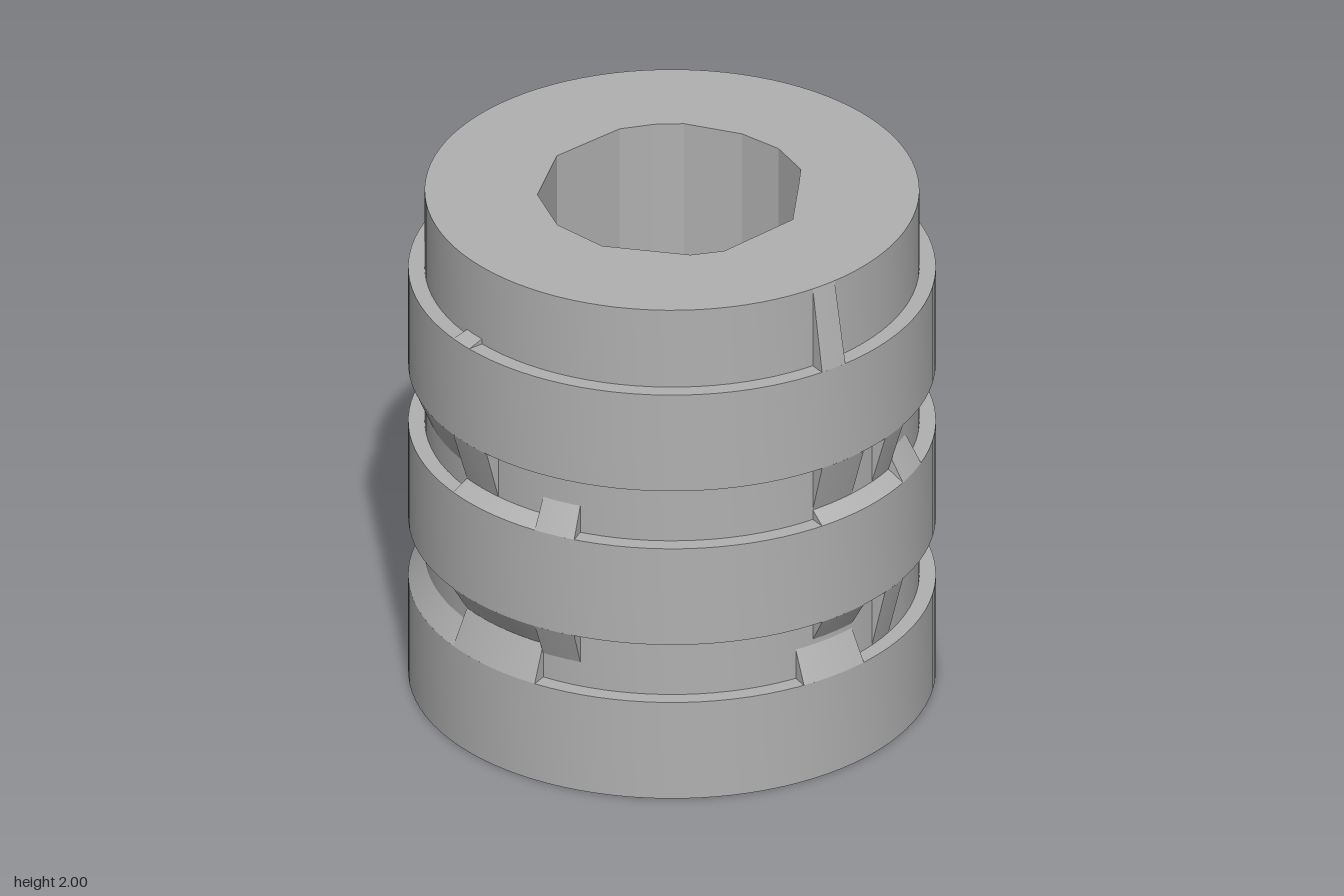
import * as THREE from 'three';
import { toCreasedNormals, mergeGeometries } from 'three/addons/utils/BufferGeometryUtils.js';

const CORE = 0.9, RIM = 0.96;

export function createModel() {
  const model = new THREE.Group();
  const grey = new THREE.MeshStandardMaterial({ color: 0xb0b0b0 });
  grey.name = 'plain grey';
  const add = (name, geometry, parent = model) => {
    const mesh = new THREE.Mesh(geometry, grey);
    mesh.name = name;
    parent.add(mesh);
    return mesh;
  };
  const fromPositions = (positions) => {
    const g = new THREE.BufferGeometry();
    g.setAttribute('position', new THREE.Float32BufferAttribute(positions, 3));
    g.computeVertexNormals();
    return g;
  };

  // Outer wall: a core with three raised bands
  const profile = [];
  for (const y of [0, 0.64, 1.28]) {
    if (y) profile.push([CORE, y]);
    profile.push([RIM, y], [RIM, y + 0.4], [CORE, y + 0.4]);
  }
  profile.push([CORE, 2]);
  const wall = new THREE.LatheGeometry(profile.map(([r, y]) => new THREE.Vector2(r, y)), 96);
  add('bandedWall', toCreasedNormals(wall, 0.5));

  // Irregular bore, given in plan as x, z
  const bore = [
    [-0.49, 0], [-0.4, -0.29], [-0.31, -0.385], [-0.22, -0.445], [0, -0.49],
    [0.17, -0.465], [0.32, -0.375], [0.37, -0.28], [0.49, -0.04], [0.4, 0.29],
    [0.31, 0.38], [0, 0.49], [-0.22, 0.44], [-0.4, 0.285],
  ];
  const borePositions = [];
  bore.forEach(([ax, az], i) => {
    const [bx, bz] = bore[(i + 1) % bore.length];
    borePositions.push(ax, 0, az, bx, 0, bz, bx, 2, bz, ax, 0, az, bx, 2, bz, ax, 2, az);
  });
  add('boreWall', fromPositions(borePositions));

  // End faces
  const endFace = (radius) => {
    const shape = new THREE.Shape().absarc(0, 0, radius, 0, Math.PI * 2);
    shape.holes.push(new THREE.Path(bore.map(([x, z]) => new THREE.Vector2(x, -z))));
    return new THREE.ShapeGeometry(shape, 48);
  };
  add('topFace', endFace(CORE).rotateX(-Math.PI / 2)).position.y = 2;
  const bottom = endFace(RIM).scale(1, -1, 1);
  // Mirroring reverses the corners, so the turned face points down
  const index = bottom.index.array;
  for (let i = 0; i < index.length; i += 3) [index[i], index[i + 1]] = [index[i + 1], index[i]];
  bottom.rotateX(Math.PI / 2);
  bottom.computeVertexNormals();
  add('bottomFace', bottom);

  // Sloped patch between rim (at yRim) and core (at yCore), from angle a0 to a1
  const slope = (a0, a1, yRim, yCore) => {
    const rim = new THREE.Vector2(RIM, yRim), core = new THREE.Vector2(CORE, yCore);
    const [p0, p1] = yRim < yCore ? [rim, core] : [core, rim];
    const corner = new THREE.Vector2(CORE, yRim);
    const segments = Math.max(2, Math.ceil((a1 - a0) / 0.065));
    const face = new THREE.LatheGeometry([p0, p1], segments, a0, a1 - a0).toNonIndexed();
    face.deleteAttribute('uv');
    const at = (p, a) => [p.x * Math.sin(a), p.y, p.x * Math.cos(a)];
    const ends = fromPositions([
      ...[p0, p1, corner].flatMap((p) => at(p, a0)),
      ...[p1, p0, corner].flatMap((p) => at(p, a1)),
    ]);
    ends.deleteAttribute('uv');
    return mergeGeometries([face, ends]);
  };
  const front = (x) => Math.asin(x / RIM);
  const side = (z) => Math.acos(z / RIM);
  const back = (x) => Math.PI - Math.asin(x / RIM);

  // Each row: start, end, height at rim, height at core
  const groups = {
    frontSlopes: [front, [
      [-0.4, 0, 0.4, 0.54], [-0.4, 0, 0.64, 0.54], [0, 0.16, 0.64, 0.5],
      [-0.4, 0, 1.04, 1.08], [-0.4, -0.22, 1.28, 1.08], [0, 0.16, 1.04, 1.15],
      [-0.4, -0.31, 1.68, 1.7],
    ]],
    leftSlopes: [side, [
      [0.46, 0.2, 0.4, 0.52], [0.39, 0.2, 0.64, 0.54], [0.08, -0.04, 0.64, 0.4],
      [-0.04, -0.2, 0.64, 0.57], [0.39, -0.04, 1.04, 1.08], [0.39, 0.2, 1.28, 1.08],
      [0.08, -0.04, 1.28, 1.08], [-0.04, -0.2, 1.04, 1.15], [0.39, 0.29, 1.68, 2],
    ]],
    backSlopes: [back, [
      [-0.08, -0.4, 0.4, 0.54], [-0.22, -0.4, 0.64, 0.54], [-0.08, -0.2, 0.64, 0.42],
      [0.28, -0.4, 1.04, 1.08], [-0.22, -0.4, 1.28, 1.06], [-0.22, -0.4, 1.68, 2],
    ]],
    // Long cones that wrap the right side
    rightSlopes: [(a) => a, [
      [back(-0.4), 2 * Math.PI + front(-0.4), 0.4, 0.49],
      [back(-0.4), 2 * Math.PI + front(-0.4), 1.28, 1.14],
    ]],
  };
  for (const [name, [angle, rows]] of Object.entries(groups)) {
    const group = new THREE.Group();
    group.name = name;
    for (const [from, to, yRim, yCore] of rows) {
      add(yRim < yCore ? 'upperBevel' : 'lowerBevel', slope(angle(from), angle(to), yRim, yCore), group);
    }
    model.add(group);
  }
  return model;
}
